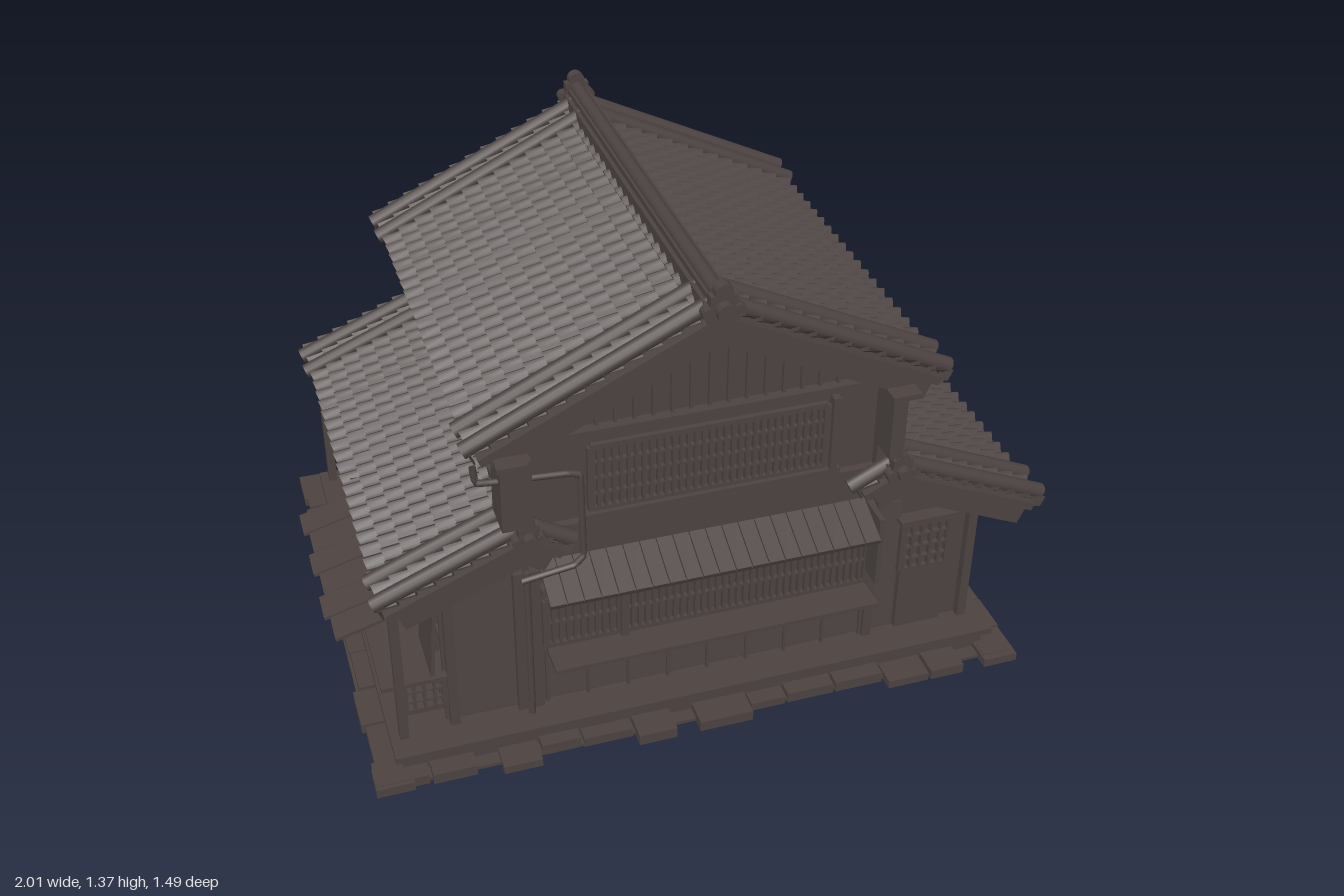
import * as THREE from 'three';
import { toCreasedNormals } from 'three/addons/utils/BufferGeometryUtils.js';

const timber = new THREE.MeshStandardMaterial({ color: 0x4c4341, side: THREE.DoubleSide });
timber.name = 'dark weathered timber';

export function createModel() {
  const model = new THREE.Group();
  model.name = 'townhouse';
  let seed = 7;
  const rand = () => (seed = (seed * 16807) % 2147483647) / 2147483647;

  const add = (name, geo, parent = model) => {
    const m = new THREE.Mesh(geo, timber);
    m.name = name;
    parent.add(m);
    return m;
  };
  // Box given by its limits on each axis
  const box = (name, x0, x1, y0, y1, z0, z1, parent) => {
    const m = add(name, new THREE.BoxGeometry(x1 - x0, y1 - y0, z1 - z0), parent);
    m.position.set((x0 + x1) / 2, (y0 + y1) / 2, (z0 + z1) / 2);
    return m;
  };
  // Thin rectangle on a wall that faces +z or -z
  const plate = (name, x0, x1, y0, y1, z, t = 0.012) => box(name, x0, x1, y0, y1, z - t / 2, z + t / 2);
  // Gable-shaped solid running along z
  const prism = (name, pts, z0, z1) => {
    const g = new THREE.ExtrudeGeometry(new THREE.Shape(pts.map(p => new THREE.Vector2(...p))), { depth: z1 - z0, bevelEnabled: false });
    add(name, g).position.z = z0;
  };
  const rod = (name, r, len, x, y, z, axis, parent) => {
    const m = add(name, new THREE.CylinderGeometry(r, r, len, 12), parent);
    m.position.set(x, y, z);
    if (axis === 'x') m.rotation.z = Math.PI / 2;
    if (axis === 'z') m.rotation.x = Math.PI / 2;
    return m;
  };
  // Framed grid of bars
  const lattice = (name, x0, x1, y0, y1, z, nx, ny) => {
    for (let i = 0; i <= nx; i++) {
      const x = x0 + (x1 - x0) * i / nx, w = i % nx ? 0.004 : 0.009;
      plate(name + 'Bar', x - w, x + w, y0, y1, z, 0.016);
    }
    for (let i = 0; i <= ny; i++) {
      const y = y0 + (y1 - y0) * i / ny, w = i % ny ? 0.003 : 0.008;
      plate(name + 'Rail', x0, x1, y - w, y + w, z, 0.014);
    }
  };
  // Overlapping boards on a wall facing +z or -z
  const boardsZ = (name, x0, x1, y0, y1, z, n) => {
    const h = (y1 - y0) / n;
    for (let i = 0; i < n; i++) plate(name, x0, x1, y0 + i * h, y0 + (i + 1) * h, z, 0.008).rotation.x = -Math.sign(z) * 0.1;
  };
  // Overlapping boards on a wall facing +x or -x
  const boardsX = (name, x, z0, z1, y0, y1, n) => {
    const h = (y1 - y0) / n;
    for (let i = 0; i < n; i++) box(name, x - 0.004, x + 0.004, y0 + i * h, y0 + (i + 1) * h, z0, z1).rotation.z = Math.sign(x) * 0.1;
  };

  // Wavy stepped tile surface, running down +x
  const tileGeometry = (len, half, rows, cols) => {
    const pos = [], idx = [], n = cols * 6;
    const line = (s, lift) => {
      for (let j = 0; j <= n; j++) {
        pos.push(s, lift + 0.009 * Math.cos(j / 6 * Math.PI * 2), -half + 2 * half * j / n);
      }
    };
    for (let i = 0; i < rows; i++) {
      line(len * i / rows, 0);
      line(len * (i + 1) / rows, 0.014);
    }
    line(len, -0.02);
    for (let i = 0; i < rows * 2; i++) for (let j = 0; j < n; j++) {
      const a = i * (n + 1) + j, b = a + n + 1;
      idx.push(a, a + 1, b, a + 1, b + 1, b);
    }
    const g = new THREE.BufferGeometry();
    g.setAttribute('position', new THREE.Float32BufferAttribute(pos, 3));
    g.setIndex(idx);
    return toCreasedNormals(g, 0.8);
  };
  // One roof slope from the ridge (x0, y0) to the eave (x1, y1)
  const slope = (name, x0, y0, x1, y1, half = 0.655) => {
    const len = Math.hypot(x1 - x0, y1 - y0), g = new THREE.Group();
    g.name = name;
    g.position.set(x0, y0, 0);
    g.rotation.set(0, x1 < x0 ? Math.PI : 0, -Math.atan2(y0 - y1, Math.abs(x1 - x0)));
    model.add(g);
    add('tiles', tileGeometry(len, half, Math.max(2, Math.round(len / 0.055)), 24), g);
    box('roofBoard', 0, len - 0.01, -0.035, -0.012, -half + 0.01, half - 0.01, g);
    for (const s of [-1, 1]) {
      box('bargeBoard', 0, len - 0.03, -0.085, -0.012, s * 0.63 - 0.012, s * 0.63 + 0.012, g);
      for (const z of [0.61, 0.52]) rod('vergeRoll', 0.022, len + 0.015, len / 2 + 0.005, 0.014, s * z, 'x', g);
    }
    return g;
  };
  // Ridge stack with end ornaments
  const ridge = (name, x, y, k) => {
    box(name + 'Base', x - 0.04 * k, x + 0.04 * k, y - 0.03, y + 0.012, -0.66, 0.66);
    box(name + 'Course', x - 0.028 * k, x + 0.028 * k, y + 0.01, y + 0.028, -0.65, 0.65);
    rod(name + 'Cap', 0.02 * k, 1.3, x, y + 0.028, 0, 'z');
    for (const s of [-1, 1]) {
      box(name + 'EndBlock', x - 0.035 * k, x + 0.035 * k, y - 0.02, y + 0.045, s * 0.65 - 0.014, s * 0.65 + 0.014);
      rod(name + 'EndCrown', 0.024 * k, 0.03, x, y + 0.052 * k, s * 0.65, 'z');
      rod(name + 'EndDisc', 0.025 * k, 0.05, x, y + 0.008, s * 0.665, 'z');
      for (const d of [-1, 1]) rod(name + 'EndScroll', 0.018 * k, 0.03, x + d * 0.038 * k, y, s * 0.655, 'z');
    }
  };

  // Plinth and paving stones
  box('plinth', -0.85, 0.85, 0.003, 0.07, -0.635, 0.66);
  box('groundSlab', -0.92, 0.92, 0.002, 0.012, -0.68, 0.7);
  box('plinthSill', -0.87, 0.87, 0.066, 0.085, -0.65, 0.68);
  for (const s of [-1, 1]) {
    for (let x = -0.93; x < 0.83;) {
      const w = 0.1 + rand() * 0.06, e = 0.69 + rand() * 0.05;
      box('pavingStone', x, Math.min(x + w, 0.93), 0, 0.024 + rand() * 0.01, s > 0 ? 0.62 : -e + 0.01, s > 0 ? e + 0.005 : -0.6);
      x += w + 0.008 + (rand() > 0.7 ? 0.06 : 0);
    }
    for (let z = -0.7; z < 0.66;) {
      const w = 0.1 + rand() * 0.08, e = 0.905 + rand() * 0.03;
      box('pavingStone', s > 0 ? 0.83 : -e, s > 0 ? e : -0.83, 0, 0.024 + rand() * 0.01, z, Math.min(z + w, 0.72));
      z += w + 0.008;
    }
  }

  // Storey bodies and roofs
  prism('groundFloor', [[-0.7, 0.08], [0.82, 0.08], [0.82, 0.54], [0.54, 0.66], [-0.48, 0.66], [-0.7, 0.57]], -0.6, 0.575);
  prism('upperFloor', [[-0.48, 0.6], [0.52, 0.6], [0.52, 0.99], [0.02, 1.24], [-0.48, 0.99]], -0.6, 0.575);
  slope('upperRoofLeft', 0.02, 1.285, 0.65, 0.98);
  slope('upperRoofRight', 0.02, 1.285, -0.61, 0.98);
  slope('lowerRoofLeft', 0.54, 0.695, 0.985, 0.495);
  slope('lowerRoofLeftReturn', 0.54, 0.695, 0.43, 0.64);
  slope('lowerRoofRight', -0.48, 0.715, -0.865, 0.555);
  slope('lowerRoofRightReturn', -0.48, 0.715, -0.37, 0.65);
  ridge('upperRidge', 0.02, 1.295, 1);
  ridge('leftRidge', 0.54, 0.7, 0.8);
  ridge('rightRidge', -0.48, 0.715, 0.8);

  // Boarded side walls with battens
  boardsX('sideBoard', 0.824, -0.6, 0.575, 0.09, 0.54, 8);
  boardsX('upperSideBoard', 0.524, -0.6, 0.575, 0.7, 0.98, 4);
  boardsX('upperSideBoard', -0.484, -0.6, 0.575, 0.7, 0.98, 4);
  for (const z of [0.565, 0.36, 0.17, -0.025, -0.22, -0.42, -0.59]) {
    box('sideBatten', 0.82, 0.836, 0.085, 0.54, z - 0.007, z + 0.007);
    box('upperBatten', 0.52, 0.535, 0.7, 0.98, z - 0.005, z + 0.005);
    box('upperBatten', -0.495, -0.48, 0.7, 0.98, z - 0.005, z + 0.005);
  }
  for (const z of [0.585, -0.61]) {
    for (const x of [-0.69, -0.5, -0.455, 0.51, 0.81]) plate('cornerPost', x - 0.013, x + 0.013, 0.085, 0.56, z, 0.03);
    for (const x of [-0.465, 0.505]) plate('upperPost', x - 0.014, x + 0.014, 0.66, 0.99, z, 0.03);
    plate('middleBeam', -0.46, 0.5, 0.665, 0.69, z, 0.025);
  }

  // Front gable: vertical boards, beam and barred window
  plate('gableBeam', -0.47, 0.51, 0.955, 0.975, 0.585, 0.04);
  for (let i = 0; i <= 16; i++) {
    const x = -0.38 + i * 0.05;
    plate('gableBatten', x - 0.004, x + 0.004, 0.97, 1.2 - Math.abs(x - 0.02) * 0.485, 0.58);
  }
  lattice('upperWindow', -0.3, 0.34, 0.725, 0.92, 0.595, 32, 4);
  plate('upperShutterPost', 0.35, 0.37, 0.7, 0.945, 0.6, 0.03);
  plate('upperWindowSill', -0.32, 0.38, 0.705, 0.722, 0.595, 0.04);
  box('sleeveWall', 0.49, 0.53, 0.765, 0.97, 0.57, 0.675);
  box('sleeveWall', -0.55, -0.47, 0.765, 0.97, 0.57, 0.675);
  for (const x of [-0.55, 0.49]) box('sleeveCap', x - 0.01, x + 0.07, 0.955, 0.97, 0.57, 0.69);

  // Shop front: awning, lattice, counter shelf and lower panels
  const awning = (name, x0, x1, y, z0, out, n) => {
    const g = new THREE.Group(), s = Math.sign(z0);
    g.name = name;
    g.position.set(0, y, z0);
    g.rotation.x = s * 0.42;
    model.add(g);
    for (let i = 0; i < n; i++) {
      const w = (x1 - x0) / n;
      box('awningBoard', x0 + i * w, x0 + (i + 1) * w - 0.003, -0.006, 0.004, Math.min(0, s * out), Math.max(0, s * out), g);
    }
    for (const t of [0.1, 0.95]) box('awningRail', x0, x1, -0.016, -0.004, s * out * t - 0.006, s * out * t + 0.006, g);
  };
  awning('frontAwning', -0.44, 0.48, 0.57, 0.575, 0.135, 20);
  plate('awningBeam', -0.44, 0.49, 0.47, 0.495, 0.59, 0.03);
  lattice('shopWindow', -0.43, 0.49, 0.295, 0.45, 0.595, 46, 2);
  plate('shopPost', -0.225, -0.205, 0.28, 0.5, 0.6, 0.03);
  box('counterShelf', -0.43, 0.49, 0.278, 0.29, 0.575, 0.695);
  for (const x of [-0.4, -0.04, 0.44]) prismBracket(x);
  function prismBracket(x) {
    const b = box('shelfBracket', x - 0.007, x + 0.007, 0.215, 0.232, 0.56, 0.69);
    b.rotation.x = -0.75;
    b.position.y = 0.235;
    b.position.z = 0.625;
  }
  boardsZ('frontBoard', -0.43, 0.49, 0.1, 0.275, 0.581, 3);
  for (let i = 0; i <= 8; i++) plate('frontBatten', -0.434 + i * 0.115, -0.426 + i * 0.115, 0.09, 0.275, 0.588);
  boardsZ('frontSideBoard', -0.68, -0.515, 0.1, 0.55, 0.581, 8);
  boardsZ('frontSideBoard', 0.525, 0.59, 0.1, 0.54, 0.581, 8);
  box('hangingBoard', 0.485, 0.5, 0.34, 0.56, 0.575, 0.67);

  // Side door
  lattice('sideDoor', 0.6, 0.74, 0.3, 0.46, 0.592, 5, 4);
  plate('doorPanel', 0.6, 0.74, 0.09, 0.29, 0.585, 0.018);
  box('doorLintel', 0.58, 0.76, 0.475, 0.487, 0.575, 0.615);

  // Back wall: lapped gable, awning, window
  for (let i = 0; i < 11; i++) {
    const y = 0.7 + i * 0.048, hw = Math.min(0.48, (1.2 - y - 0.04) / 0.485);
    if (hw > 0.02) boardsZ('backBoard', 0.02 - hw, 0.02 + hw, y, y + 0.048, -0.605, 1);
  }
  awning('backAwning', -0.45, 0.5, 0.6, -0.61, 0.155, 18);
  lattice('backWindow', -0.24, 0.24, 0.27, 0.47, -0.615, 12, 6);
  plate('backRail', -0.45, 0.5, 0.25, 0.268, -0.61, 0.03);
  for (const x of [-0.27, 0.27]) plate('backPost', x - 0.01, x + 0.01, 0.085, 0.56, -0.61, 0.025);

  // Veranda: posts, sliding doors, bench and side awning
  for (const z of [-0.61, 0.06, 0.6]) box('verandaPost', -0.845, -0.82, 0.085, 0.57, z - 0.013, z + 0.013);
  box('verandaBeam', -0.848, -0.818, 0.515, 0.545, -0.63, 0.63);
  box('verandaLintel', -0.72, -0.7, 0.46, 0.48, -0.6, 0.575);
  for (let i = 0; i <= 14; i++) {
    const z = -0.59 + i * 0.083;
    box('verandaDoorStile', -0.712, -0.7, 0.09, 0.46, z - 0.006, z + 0.006);
  }
  for (const y of [0.1, 0.23, 0.35]) box('verandaDoorRail', -0.71, -0.7, y, y + 0.012, -0.6, 0.575);
  box('bench', -0.88, -0.7, 0.252, 0.265, 0.1, 0.6);
  for (const z of [0.14, 0.58]) lattice('benchGrille', -0.82, -0.71, 0.15, 0.25, z, 4, 3);
  const sign = box('leaningPanel', -0.735, -0.725, 0.26, 0.53, 0.42, 0.59);
  sign.rotation.z = -0.08;
  for (let i = 0; i < 6; i++) {
    const z = 0.1 + i * 0.09;
    box('sideAwningBoard', -1.0 + (i % 2) * 0.015, -0.82, 0.513, 0.522, z, z + 0.086).rotation.z = 0.27;
  }

  // Rain pipes at both gables
  for (const z of [0.645, -0.645]) {
    const pts = [[-0.61, 0.96], [-0.605, 0.91], [-0.57, 0.905], [-0.37, 0.89], [-0.34, 0.88], [-0.335, 0.62], [-0.36, 0.595], [-0.5, 0.575]];
    const path = new THREE.CurvePath();
    pts.slice(1).forEach((p, i) => path.add(new THREE.LineCurve3(new THREE.Vector3(...pts[i], z), new THREE.Vector3(...p, z))));
    add('rainPipe', new THREE.TubeGeometry(path, 60, 0.009, 8));
    rod('downPipe', 0.009, 0.49, -0.48, 0.33, Math.sign(z) * 0.615);
  }
  return model;
}
